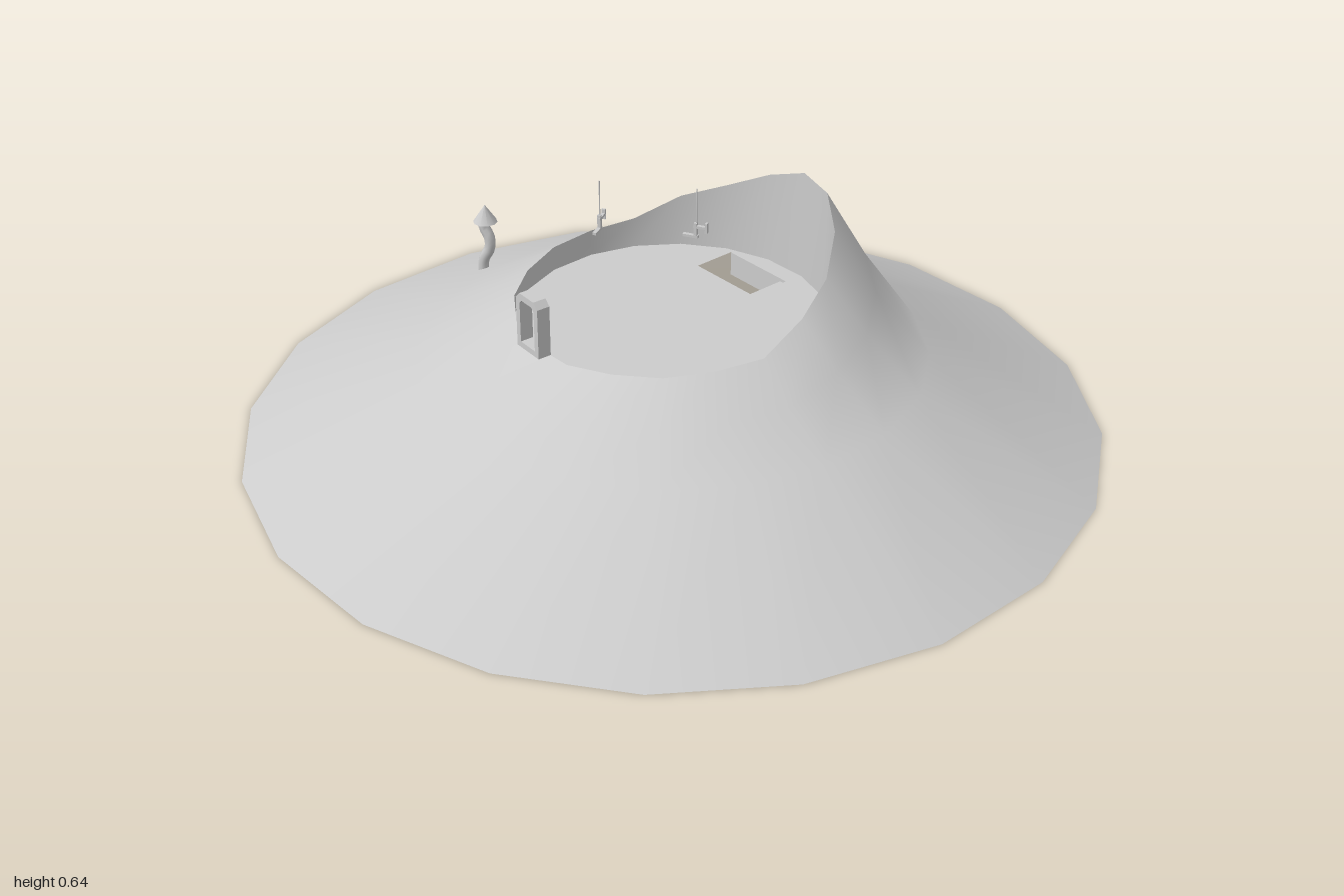
import * as THREE from 'three';

const SIDES = 20, RIM_R = 0.362, FLOOR_Y = 0.28;
// rim heights, starting at +x and turning towards the back
const RIM = [0.45, 0.51, 0.55, 0.55, 0.505, 0.45, 0.41, 0.355, 0.345, 0.34,
  0.33, 0.325, 0.325, 0.32, 0.32, 0.33, 0.335, 0.345, 0.35, 0.405];

const grey = new THREE.MeshStandardMaterial({ color: 0xcccccc });
const greyDouble = new THREE.MeshStandardMaterial({ color: 0xcccccc, side: THREE.DoubleSide });

function add(parent, name, geometry, material = grey, x = 0, y = 0, z = 0) {
  const mesh = new THREE.Mesh(geometry, material);
  mesh.name = name;
  mesh.position.set(x, y, z);
  parent.add(mesh);
  return mesh;
}

// Skin over closed rings; each ring is [radius, height function of index]
function ringSkin(rings) {
  const pos = [], idx = [];
  for (const [r, h] of rings)
    for (let k = 0; k < SIDES; k++) {
      const a = (k / SIDES) * Math.PI * 2;
      pos.push(r * Math.cos(a), h(k), -r * Math.sin(a));
    }
  for (let j = 0; j < rings.length - 1; j++)
    for (let k = 0; k < SIDES; k++) {
      const n = (k + 1) % SIDES;
      const a = j * SIDES + k, b = j * SIDES + n, c = a + SIDES, d = b + SIDES;
      idx.push(a, b, d, a, d, c);
    }
  const g = new THREE.BufferGeometry();
  g.setAttribute('position', new THREE.Float32BufferAttribute(pos, 3));
  g.setIndex(idx);
  g.computeVertexNormals();
  return g;
}

function tube(points, radius, sides, segments = 20) {
  const curve = new THREE.CatmullRomCurve3(points.map(p => new THREE.Vector3(...p)));
  return new THREE.TubeGeometry(curve, segments, radius, sides);
}

// Stairwell frame: local +x points to the top of the stairs
const STAIR = { x: 0.078, z: -0.255, turn: 0.49, length: 0.195, width: 0.11 };

function craterFloor() {
  const shape = new THREE.Shape();
  for (let k = 0; k < SIDES; k++) {
    const a = (k / SIDES) * Math.PI * 2;
    shape[k ? 'lineTo' : 'moveTo'](RIM_R * Math.cos(a), RIM_R * Math.sin(a));
  }
  const c = Math.cos(STAIR.turn), s = Math.sin(STAIR.turn);
  const l = STAIR.length / 2, w = STAIR.width / 2;
  const hole = [[-l, -w], [-l, w], [l, w], [l, -w]].map(([u, v]) =>
    new THREE.Vector2(STAIR.x + u * c - v * s, -(STAIR.z + u * s + v * c)));
  shape.holes.push(new THREE.Path(hole));
  return new THREE.ShapeGeometry(shape).rotateX(-Math.PI / 2);
}

function staircase() {
  const g = new THREE.Group();
  g.name = 'staircase';
  g.position.set(STAIR.x, FLOOR_Y, STAIR.z);
  g.rotation.y = -STAIR.turn;
  const steps = 7, run = 0.0222, rise = 0.022;
  for (let i = 0; i < steps; i++)
    add(g, 'step', new THREE.BoxGeometry(run, rise * 1.6, STAIR.width), grey,
      STAIR.length / 2 - run * (i + 0.5), -rise * (i + 1.2), 0);
  // short lining under the edges of the opening
  for (const s of [-1, 1])
    add(g, 'sideLining', new THREE.BoxGeometry(STAIR.length, 0.06, 0.005), grey, 0, -0.031, s * STAIR.width / 2);
  add(g, 'endLining', new THREE.BoxGeometry(0.005, 0.06, STAIR.width), grey, STAIR.length / 2, -0.031, 0);
  return g;
}

function doorway() {
  const g = new THREE.Group();
  g.name = 'doorway';
  const outline = (w, b, t, c) => [[-w, b], [w, b], [w, t - c], [w - c, t], [c - w, t], [-w, t - c]]
    .map(p => new THREE.Vector2(...p));
  const shape = new THREE.Shape(outline(0.041, 0, 0.135, 0.014));
  shape.holes.push(new THREE.Path(outline(0.027, 0.014, 0.119, 0.008).reverse()));
  add(g, 'frame', new THREE.ExtrudeGeometry(shape, { depth: 0.032, bevelEnabled: false }), grey, 0, 0, -0.016);
  g.position.set(-0.205, 0.32, 0.31);
  g.rotation.y = -0.55;
  return g;
}

// Hanging hook: thin cord, upright, foot on one side and capped bar on the other
function hangingHook(x, z, turn) {
  const g = new THREE.Group();
  g.name = 'hangingHook';
  add(g, 'cord', new THREE.CylinderGeometry(0.0015, 0.0015, 0.085, 6), grey, 0, 0.6025, 0);
  add(g, 'upright', new THREE.BoxGeometry(0.007, 0.034, 0.008), grey, -0.002, 0.545, 0);
  add(g, 'foot', new THREE.BoxGeometry(0.036, 0.006, 0.009), grey, -0.014, 0.529, 0);
  add(g, 'bar', new THREE.BoxGeometry(0.03, 0.006, 0.008), grey, 0.008, 0.553, 0);
  add(g, 'barCap', new THREE.BoxGeometry(0.005, 0.024, 0.009), grey, 0.023, 0.553, 0);
  g.position.set(x, 0, z);
  g.rotation.y = turn;
  return g;
}

function signpost() {
  const g = new THREE.Group();
  g.name = 'crookedPost';
  add(g, 'stem', tube([[-0.006, 0.09, 0], [-0.008, 0.2, 0], [0.009, 0.235, 0], [0.009, 0.265, 0],
    [-0.005, 0.295, 0], [-0.002, 0.32, 0]], 0.014, 8));
  add(g, 'pointedCap', new THREE.ConeGeometry(0.03, 0.045, 10), grey, 0, 0.329, 0);
  g.position.set(-0.583, 0, -0.235);
  return g;
}

export function createModel() {
  const model = new THREE.Group();
  model.name = 'craterHill';

  // Outer slope, steeper below the high side of the rim
  add(model, 'slope', ringSkin([
    [1, () => 0],
    [0.59, () => 0.2],
    [0.46, k => 0.2 + 0.52 * (RIM[k] - 0.2)],
    [RIM_R, k => RIM[k]],
  ]), greyDouble);

  // Crater wall and floor with the stair opening
  add(model, 'craterWall', ringSkin([[RIM_R, k => RIM[k]], [RIM_R, () => FLOOR_Y]]), greyDouble);
  add(model, 'craterFloor', craterFloor(), greyDouble, 0, FLOOR_Y, 0);

  model.add(staircase(), doorway(), signpost(),
    hangingHook(-0.136, 0.094, Math.PI / 2), hangingHook(0.078, 0.055, 0));
  return model;
}
